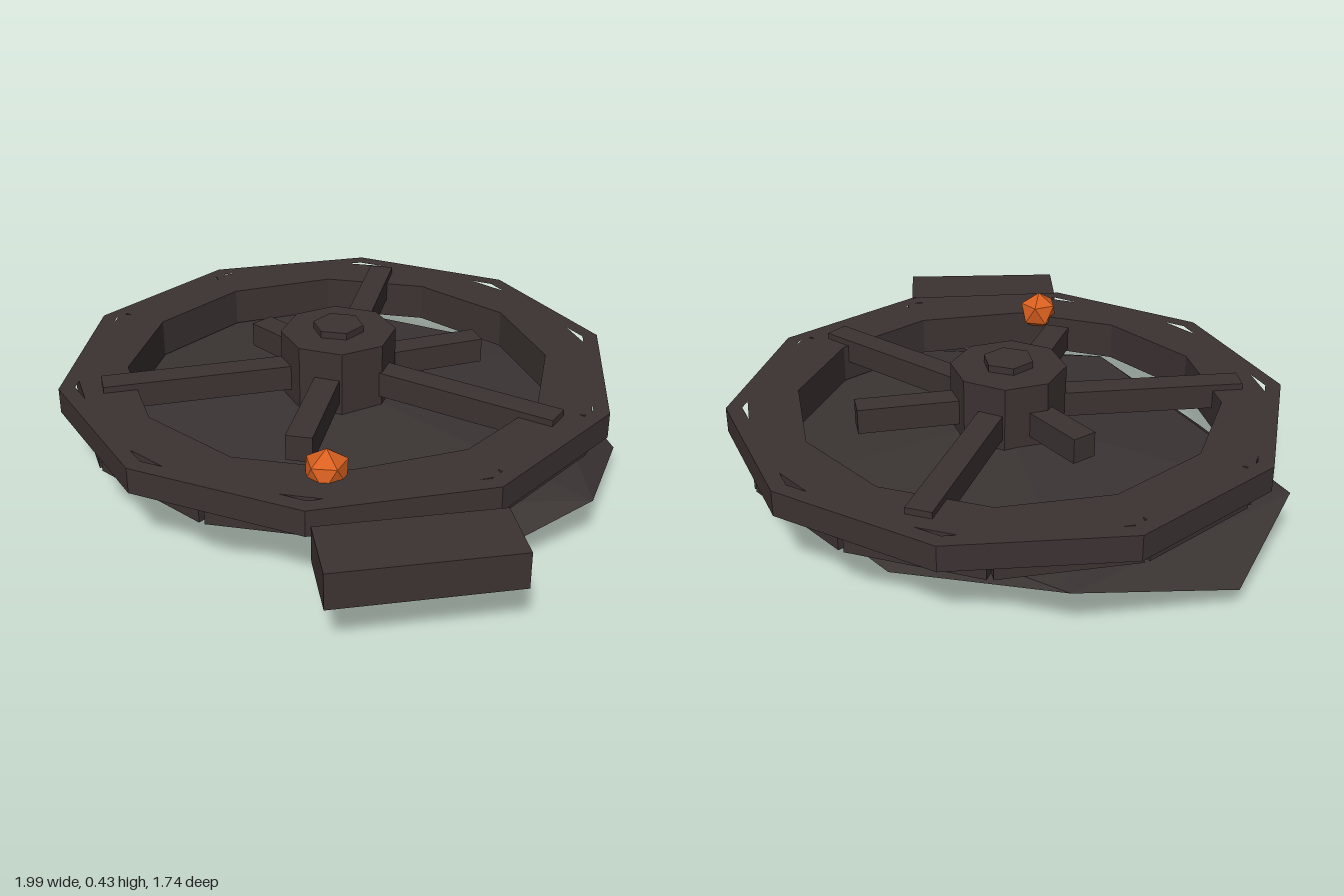
import * as THREE from 'three';

export function createModel() {
  const model = new THREE.Group();
  const mat = (name, color) => {
    const m = new THREE.MeshStandardMaterial({ color, flatShading: true });
    m.name = name;
    return m;
  };
  const wood = mat('charred wood', 0x3c3332);
  const rock = mat('dark rock', 0x3a3433);
  const ember = mat('ember orange', 0xd9601f);

  const add = (parent, name, geometry, material, x = 0, y = 0, z = 0, turn = 0) => {
    const mesh = new THREE.Mesh(geometry, material);
    mesh.name = name;
    mesh.position.set(x, y, z);
    mesh.rotation.y = turn;
    parent.add(mesh);
    return mesh;
  };

  // Rubble mound: a squashed, uneven icosahedron (two apexes, two rings of five)
  const upper = [[0.885, 0.157, -0.03], [0.17, 0.163, 0.64], [-0.86, 0.158, 0.39], [-0.8, 0.16, -0.45], [0.2, 0.157, -0.73]];
  const lower = [[0.72, 0.065, 0.44], [-0.3, 0.073, 0.64], [-1, 0.068, 0], [-0.3, 0.07, -0.67], [0.7, 0.07, -0.46]];
  const top = [-0.04, 0.222, 0], bottom = [-0.02, 0, 0.05];
  const corners = [];
  for (let i = 0; i < 5; i++) {
    const j = (i + 1) % 5;
    corners.push(top, upper[j], upper[i]);
    corners.push(upper[i], upper[j], lower[i]);
    corners.push(lower[i], upper[j], lower[j]);
    corners.push(bottom, lower[i], lower[j]);
  }
  const mound = new THREE.BufferGeometry();
  mound.setAttribute('position', new THREE.Float32BufferAttribute(corners.flat(), 3));
  mound.computeVertexNormals();
  add(model, 'rubbleMound', mound, rock);

  // Wheel lying flat on the mound
  const wheel = new THREE.Group();
  wheel.name = 'wheel';
  wheel.position.x = -0.05;
  model.add(wheel);

  // Outer rim: ten-sided band
  const polygon = (Type, radius) => {
    const points = [];
    for (let i = 0; i < 10; i++) {
      const a = (i / 10) * Math.PI * 2;
      points.push(new THREE.Vector2(Math.sin(a) * radius, Math.cos(a) * radius));
    }
    return new Type(points);
  };
  const band = polygon(THREE.Shape, 0.872);
  band.holes.push(polygon(THREE.Path, 0.822));
  const bandGeometry = new THREE.ExtrudeGeometry(band, { depth: 0.08, bevelEnabled: false });
  bandGeometry.rotateX(-Math.PI / 2);
  add(wheel, 'outerRim', bandGeometry, wood, 0, 0.22, 0);

  // Inner rim: twelve blocks with small gaps at their outer corners
  for (let i = 0; i < 12; i++) {
    const a = (i / 12) * Math.PI * 2;
    add(wheel, 'rimBlock', new THREE.BoxGeometry(0.41, 0.123, 0.16), wood,
      Math.sin(a) * 0.72, 0.2385, Math.cos(a) * 0.72, a);
  }

  // Hub and its cap
  add(wheel, 'hub', new THREE.CylinderGeometry(0.18, 0.18, 0.25, 8), wood, 0, 0.285, 0);
  add(wheel, 'hubCap', new THREE.CylinderGeometry(0.08, 0.08, 0.03, 6), wood, 0, 0.417, 0);

  // Spokes, whole and broken, given by the end point of each
  const spokeEnds = [[-0.37, -0.65], [0.235, -0.415], [0.74, -0.13], [0.26, 0.46], [-0.42, 0.61], [-0.37, -0.03]];
  for (const [x, z] of spokeEnds) {
    const length = Math.hypot(x, z);
    add(wheel, 'spoke', new THREE.BoxGeometry(0.08, 0.08, length), wood, x / 2, 0.28, z / 2, Math.atan2(x, z));
  }

  // Broken block lying beside the wheel
  add(model, 'fallenBlock', new THREE.BoxGeometry(0.21, 0.11, 0.53), wood, 0.745, 0.22, 0.58, Math.atan2(-0.33, 0.41));

  // Glowing ember on the rim, point upward
  const coal = new THREE.IcosahedronGeometry(0.068, 0);
  coal.rotateZ(Math.atan(2 / (1 + Math.sqrt(5))));
  add(model, 'ember', coal, ember, 0.375, 0.307, 0.525, 0.3);

  return model;
}
